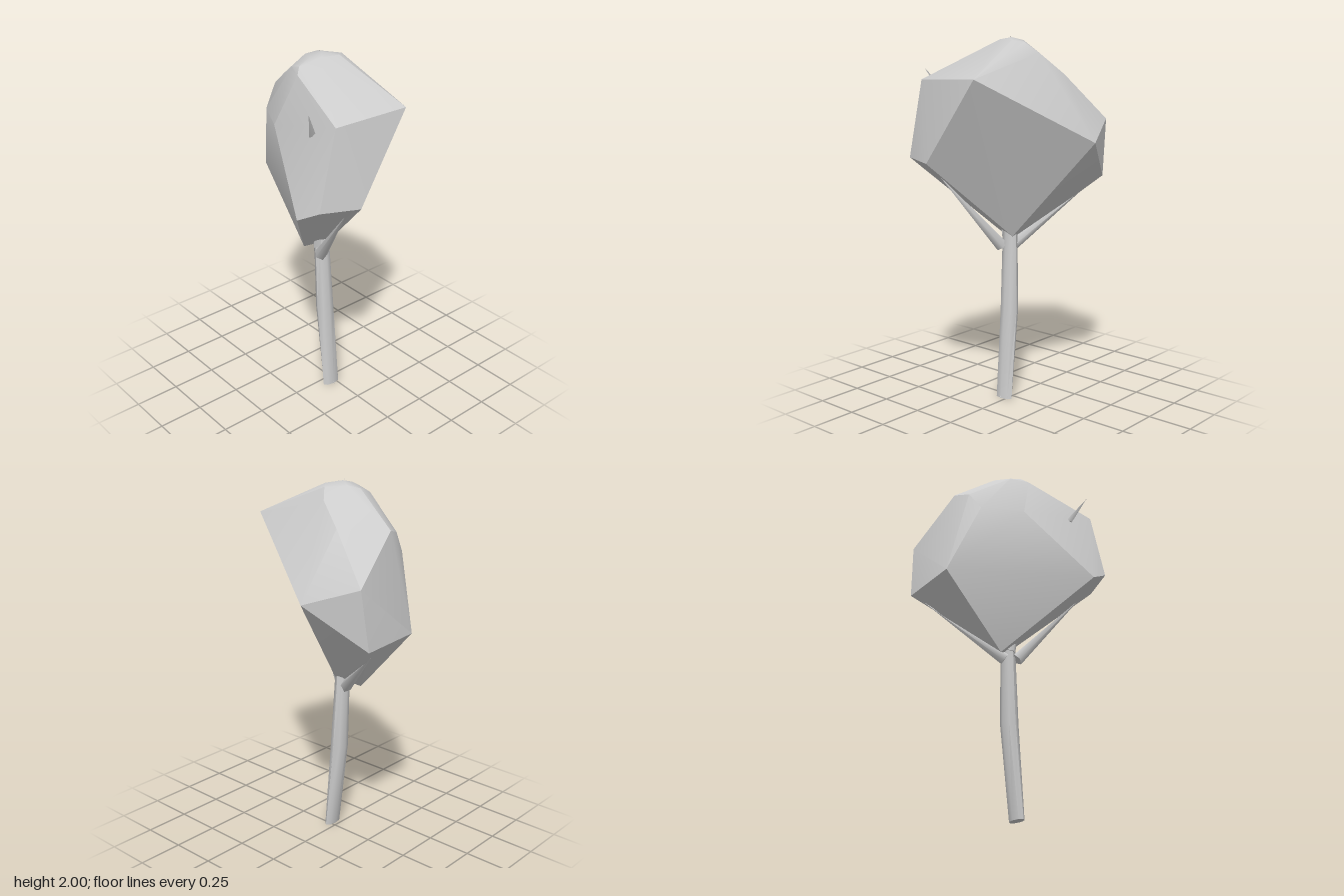
import * as THREE from 'three';
import { ConvexGeometry } from 'three/addons/geometries/ConvexGeometry.js';
import { toCreasedNormals } from 'three/addons/utils/BufferGeometryUtils.js';

const V = (x, y, z) => new THREE.Vector3(x, y, z);

export function createModel() {
  const tree = new THREE.Group();
  tree.name = 'tree';
  const grey = new THREE.MeshStandardMaterial({ color: 0xcccccc });
  grey.name = 'pale grey';

  const add = (name, geometry) => {
    const mesh = new THREE.Mesh(geometry, grey);
    mesh.name = name;
    tree.add(mesh);
    return mesh;
  };

  // Crown: a faceted, lopsided hull with a rounded top
  const crownCorners = [
    // underside
    V(-0.11, 0.865, 0.09), V(0.0, 0.92, 0.0),
    // widest corners
    V(-0.46, 1.25, 0.075), V(-0.46, 1.23, -0.265), V(-0.16, 1.45, -0.43),
    V(0.46, 1.35, 0.19), V(0.385, 1.36, 0.39), V(0.26, 1.29, 0.43),
    // shoulders
    V(-0.435, 1.55, -0.3), V(-0.37, 1.78, 0), V(-0.335, 1.755, 0.09),
    V(-0.31, 1.64, 0.17), V(-0.1, 1.64, 0.28), V(0.385, 1.775, 0.29),
    V(0.43, 1.79, -0.12), V(-0.19, 1.795, -0.2),
    // rounded top
    V(-0.1, 1.92, 0.16), V(-0.03, 1.94, 0.17), V(0.0, 1.91, 0.205),
    V(-0.05, 1.91, -0.14), V(0.0, 1.965, -0.08), V(0.04, 1.975, -0.03),
    V(-0.13, 1.955, 0.05), V(-0.09, 1.972, 0.0), V(-0.03, 1.988, 0.03),
    V(0.02, 1.977, 0.07), V(-0.03, 1.972, 0.1),
  ];
  add('crown', toCreasedNormals(new ConvexGeometry(crownCorners), 0.5));

  // Trunk: a bent tapering tube, rings as [y, centre x, centre z, radius x, radius z]
  const rings = [
    [0, 0.043, 0.025, 0.027, 0.055],
    [0.5, -0.007, 0.029, 0.045, 0.052],
    [0.98, -0.025, 0.038, 0.036, 0.043],
  ];
  const trunk = new THREE.CylinderGeometry(1, 1, 2, 8, 2);
  const p = trunk.attributes.position;
  for (let i = 0; i < p.count; i++) {
    const [y, cx, cz, rx, rz] = rings[Math.round(p.getY(i) + 1)];
    p.setXYZ(i, cx + p.getX(i) * rx, y, cz + p.getZ(i) * rz);
  }
  trunk.computeVertexNormals();
  add('trunk', toCreasedNormals(trunk, 0.9));

  // Tapering spikes from a base point to a tip
  const spike = (name, from, to, radius, sides) => {
    const axis = to.clone().sub(from);
    const mesh = add(name, new THREE.ConeGeometry(radius, axis.length(), sides));
    mesh.position.copy(from).addScaledVector(axis, 0.5);
    mesh.quaternion.setFromUnitVectors(V(0, 1, 0), axis.normalize());
  };
  spike('rightBranch', V(0.01, 0.86, 0.07), V(0.36, 1.28, 0.2), 0.035, 5);
  spike('leftBranch', V(-0.04, 0.86, 0.04), V(-0.42, 1.18, -0.2), 0.035, 5);
  spike('innerBranch', V(-0.025, 0.9, 0.06), V(0.02, 1.2, 0.1), 0.03, 5);
  spike('sideTwig', V(0.22, 1.69, 0.295), V(0.285, 1.83, 0.37), 0.02, 3);
  spike('topTwig', V(-0.05, 1.9, 0.04), V(-0.03, 2.0, 0.04), 0.006, 3);
  spike('rootSpur', V(0.05, 0.02, 0.03), V(0.08, 0.003, 0.03), 0.012, 4);

  return tree;
}
